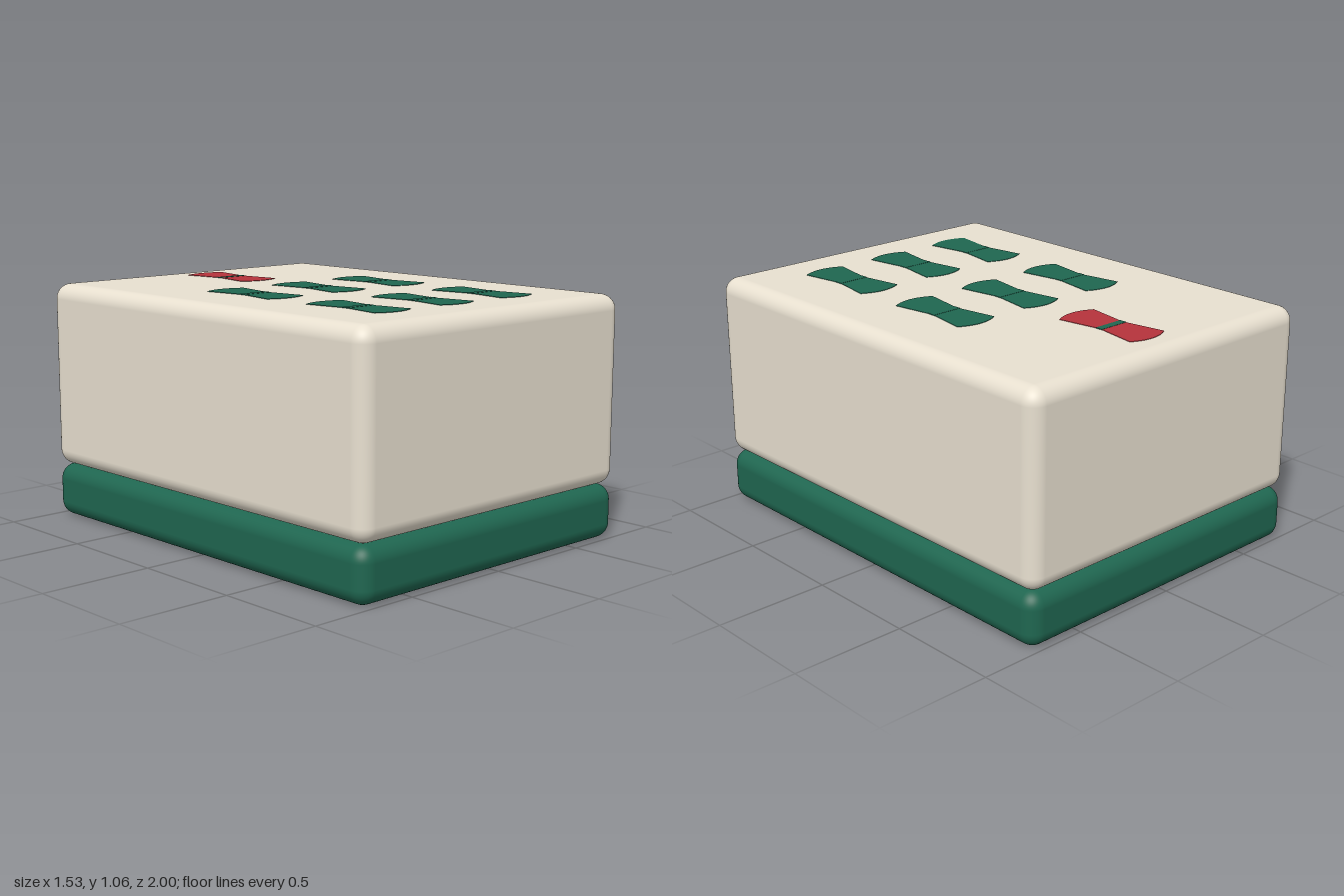
import * as THREE from 'three';
import { RoundedBoxGeometry } from 'three/addons/geometries/RoundedBoxGeometry.js';

const material = (color) => new THREE.MeshStandardMaterial({ color });

export function createModel() {
  const tile = new THREE.Group();
  tile.name = 'gameTile';
  const ivory = material(0xe8e0d0);
  const green = material(0x1f6650);
  const red = material(0xb5333c);
  const width = 1.53, length = 2, seam = 0.238, top = 1.06;

  const add = (parent, name, geometry, mat, x = 0, y = 0, z = 0) => {
    const mesh = new THREE.Mesh(geometry, mat);
    mesh.name = name;
    mesh.position.set(x, y, z);
    parent.add(mesh);
    return mesh;
  };

  // Two stacked rounded slabs
  const slab = (name, y0, y1, mat) =>
    add(tile, name, new RoundedBoxGeometry(width, y1 - y0, length, 6, 0.068), mat, 0, (y0 + y1) / 2, 0);
  slab('backing', 0, seam, green);
  slab('face', seam, top, ivory);

  // Bamboo stick: narrow waist, flared halves, bowed ends
  const outline = new THREE.Shape();
  outline.moveTo(-0.1, -0.193);
  outline.quadraticCurveTo(0, -0.251, 0.1, -0.193);
  outline.lineTo(0.07, -0.018);
  outline.lineTo(0.07, 0.018);
  outline.lineTo(0.1, 0.193);
  outline.quadraticCurveTo(0, 0.251, -0.1, 0.193);
  outline.lineTo(-0.07, 0.018);
  outline.lineTo(-0.07, -0.018);
  outline.closePath();
  const stickGeometry = new THREE.ExtrudeGeometry(outline, { depth: 0.004, bevelEnabled: false, curveSegments: 10 });
  stickGeometry.rotateX(-Math.PI / 2);
  const bandGeometry = new THREE.BoxGeometry(0.142, 0.004, 0.034);

  const addStick = (x, z, mat) => {
    const stick = new THREE.Group();
    stick.name = 'bambooStick';
    stick.position.set(x, top - 0.002, z);
    add(stick, 'stickBody', stickGeometry, mat);
    add(stick, 'stickBand', bandGeometry, green, 0, 0.003, 0);
    tile.add(stick);
  };

  // One red stick above two rows of three green ones
  addStick(0, -0.655, red);
  for (const z of [-0.06, 0.562]) {
    for (const x of [-0.366, 0, 0.366]) addStick(x, z, green);
  }
  return tile;
}
